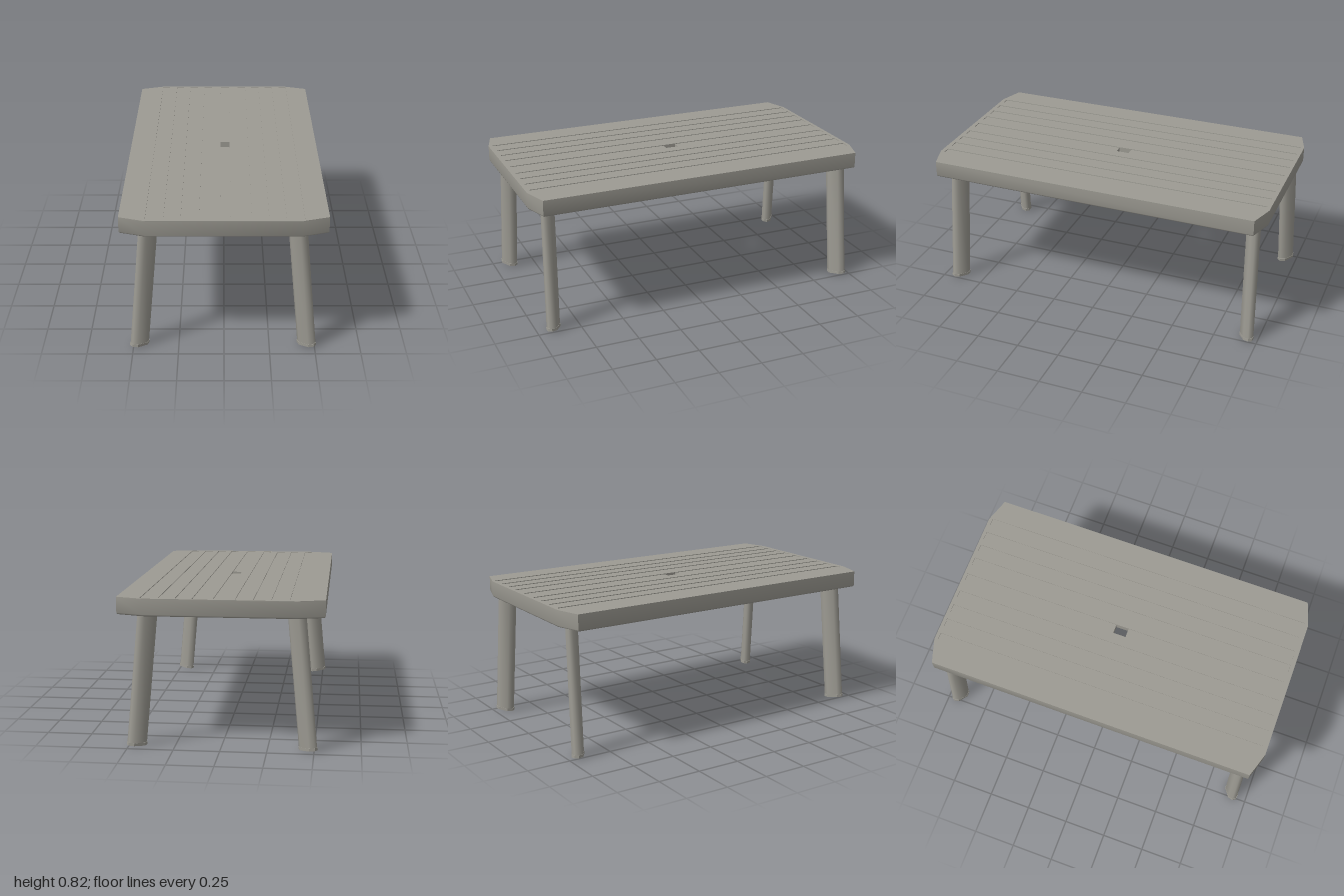
import * as THREE from 'three';
import { toCreasedNormals } from 'three/addons/utils/BufferGeometryUtils.js';

const UP = new THREE.Vector3(0, 1, 0);

// Clipped-corner outline of the table, pulled in by d
function outline(d = 0) {
  const x = 0.55 - d, z = 1 - d, cx = 0.41 - d * 0.4, cz = 0.955 - d;
  return [[x, -cz], [x, cz], [cx, z], [-cx, z], [-x, cz], [-x, -cz], [-cx, -z], [cx, -z]];
}

function shapeOf(points) {
  return new THREE.Shape(points.map(([x, y]) => new THREE.Vector2(x, y)));
}

// Rectangular opening, given in x and z
function slot(x0, x1, z0, z1) {
  return shapeOf([[x0, -z1], [x0, -z0], [x1, -z0], [x1, -z1]]);
}

// Extrude a plan shape upwards
function slab(shape, height) {
  return new THREE.ExtrudeGeometry(shape, { depth: height, bevelEnabled: false }).rotateX(-Math.PI / 2);
}

// Sweep a profile of [inset, y] around the table edge
function rimGeometry(profile) {
  const rings = profile.map(([d, y]) => outline(d).map(([x, s]) => [x, y, -s]));
  const pos = [];
  for (let j = 0; j < rings.length - 1; j++) {
    for (let i = 0; i < 8; i++) {
      const k = (i + 1) % 8;
      const a = rings[j][i], b = rings[j][k], c = rings[j + 1][i], d = rings[j + 1][k];
      pos.push(...a, ...c, ...d, ...a, ...d, ...b);
    }
  }
  const geo = new THREE.BufferGeometry();
  geo.setAttribute('position', new THREE.Float32BufferAttribute(pos, 3));
  return toCreasedNormals(geo, 0.8);
}

// Flattened six-sided leg section with blunt ends
function legSection(s = 1) {
  const half = [[0.053, -0.011], [0.053, 0.011], [0.03, 0.03], [-0.03, 0.03], [-0.053, 0.011]];
  const pts = [...half, [-0.053, -0.011], [-0.03, -0.03], [0.03, -0.03]];
  return shapeOf(pts.map(([x, y]) => [x * s, y * s]));
}

export function createModel() {
  const group = new THREE.Group();
  const grey = new THREE.MeshStandardMaterial({ color: 0x9d9b93 });
  grey.name = 'warm grey';

  function add(name, geo, parent = group) {
    const mesh = new THREE.Mesh(geo, grey);
    mesh.name = name;
    parent.add(mesh);
    return mesh;
  }

  // Top skin with long shallow grooves
  const grooves = [[-0.41, -0.365], [-0.315, -0.27], [-0.225, -0.175], [-0.13, -0.08], [-0.02, 0.035],
    [0.095, 0.145], [0.185, 0.235], [0.275, 0.325], [0.37, 0.42]];
  const skin = shapeOf(outline());
  for (const [x0, x1] of grooves) skin.holes.push(slot(x0, x1, -0.98, 0.975));
  add('groovedTop', slab(skin, 0.004)).position.y = 0.816;

  // Panel under the skin, with the parasol hole
  const panel = shapeOf(outline(0.01));
  panel.holes.push(slot(-0.02, 0.035, -0.045, 0.03));
  add('topPanel', slab(panel, 0.036)).position.y = 0.78;

  // Deep rim around the edge, rounded underneath
  add('rim', rimGeometry([
    [0, 0.816], [0, 0.735], [0.003, 0.728], [0.01, 0.725],
    [0.025, 0.725], [0.033, 0.73], [0.037, 0.74], [0.04, 0.782],
  ]));

  // Splayed legs, turned towards the corners
  for (const sx of [-1, 1]) {
    for (const sz of [-1, 1]) {
      const foot = new THREE.Vector3(sx * 0.4625 - 0.005, 0.008, sz * 0.9175 - 0.015);
      const top = new THREE.Vector3(sx * 0.39 - 0.005, 0.795, sz * 0.9 - 0.015);
      const axis = top.clone().sub(foot);
      const leg = new THREE.Group();
      leg.name = (sz > 0 ? 'front' : 'back') + (sx > 0 ? 'Left' : 'Right') + 'Leg';
      leg.position.copy(foot);
      leg.quaternion.setFromUnitVectors(UP, axis.clone().normalize());
      const turn = -sx * sz * THREE.MathUtils.degToRad(35);
      const shaft = slab(legSection(), axis.length()).rotateY(turn);
      add('legShaft', toCreasedNormals(shaft, 0.9), leg);
      add('footPad', slab(legSection(1.05), 0.016).rotateY(turn), leg);
      group.add(leg);
    }
  }
  return group;
}
